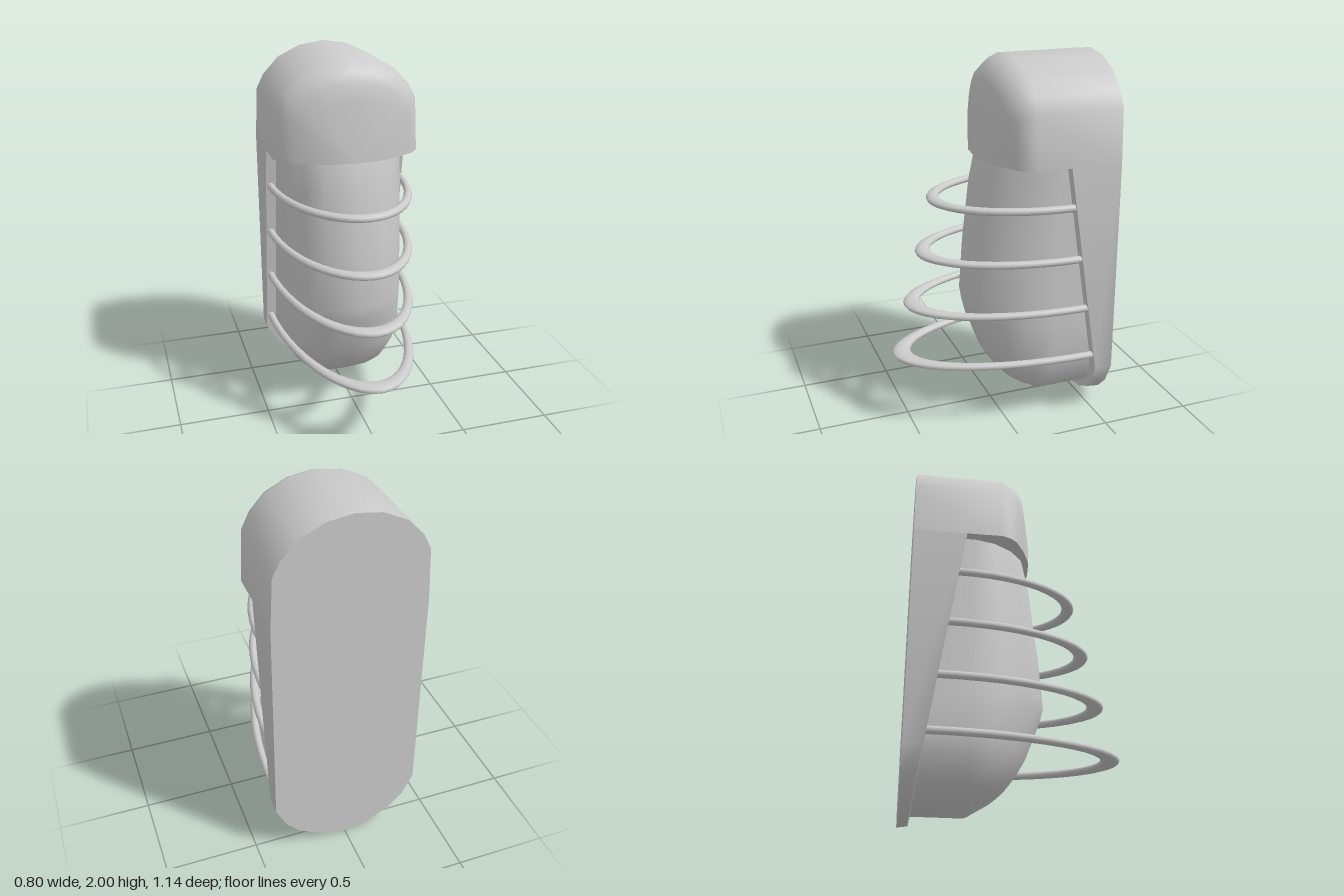
import * as THREE from 'three';
import { toCreasedNormals } from 'three/addons/utils/BufferGeometryUtils.js';

const BACK = -0.57, SPLIT = 1.47;

// z of the sloping front face of the wall plate at height y
const plateFront = (y) => -0.29 - 0.155 * (SPLIT - y);

// right half of an outline, mirrored to run from right to left
const mirrored = (half) => [...half, ...half.slice(0, -1).reverse().map(([x, y]) => [-x, y])];

// skin closed rings of [x, y, z] points
function loft(rings, crease) {
  const pos = [];
  const tri = (...pts) => {
    const [a, b, c] = pts.map((p) => new THREE.Vector3(...p));
    if (new THREE.Triangle(a, b, c).getArea() > 1e-8) pts.forEach((p) => pos.push(...p));
  };
  for (let i = 0; i < rings.length - 1; i++) {
    const n = rings[i].length;
    for (let j = 0; j < n; j++) {
      const k = (j + 1) % n;
      tri(rings[i][j], rings[i][k], rings[i + 1][k]);
      tri(rings[i][j], rings[i + 1][k], rings[i + 1][j]);
    }
  }
  const geo = new THREE.BufferGeometry();
  geo.setAttribute('position', new THREE.Float32BufferAttribute(pos, 3));
  return toCreasedNormals(geo, crease);
}

export function createModel() {
  const model = new THREE.Group();
  const material = new THREE.MeshStandardMaterial({ color: 0xcccccc });
  const add = (name, geo) => {
    const mesh = new THREE.Mesh(geo, material);
    mesh.name = name;
    model.add(mesh);
    return mesh;
  };

  // wall plate: rounded at the bottom, front sloping back downwards
  const bottom = mirrored([[0.4, 0.3], [0.34, 0.18], [0.26, 0.1], [0.13, 0.03], [0, 0.005]]).reverse();
  const outline = [[-0.4, SPLIT], ...bottom, [0.4, SPLIT]].map(([x, y]) => new THREE.Vector2(x, y));
  const plate = new THREE.ExtrudeGeometry(new THREE.Shape(outline), { depth: 1, bevelEnabled: false });
  const p = plate.attributes.position;
  for (let i = 0; i < p.count; i++) {
    if (p.getZ(i) > 0.5) {
      p.setZ(i, plateFront(p.getY(i)));
      if (p.getY(i) < 0.2) p.setY(i, p.getY(i) + 0.008);
    } else p.setZ(i, BACK);
  }
  add('wallPlate', toCreasedNormals(plate, 0.6));

  // hood: arch rings shrinking towards the bulging front, [scale, z at side, z at crown]
  const arch = mirrored([[0.4, SPLIT], [0.386, 1.75], [0.345, 1.83], [0.26, 1.92], [0.135, 1.98], [0, 2]]);
  const steps = [
    [0, BACK, BACK], [1, BACK, BACK], [1, -0.1, -0.09], [0.95, -0.055, -0.03], [0.87, -0.02, 0.02],
    [0.78, 0, 0.045], [0.62, 0.035, 0.058], [0.35, 0.075, 0.074], [0, 0.09, 0.09],
  ];
  add('hood', loft(steps.map(([s, side, crown]) => arch.map(([x, y]) => {
    const t = ((y - SPLIT) / (2 - SPLIT)) ** 2;
    return [x * s, SPLIT + (y - SPLIT) * s, side + (crown - side) * t];
  })), 0.7));

  // lens: horizontal slices, [height, half width, z at centre]
  const slices = [
    [0.07, 0, -0.24], [0.09, 0.14, -0.2], [0.16, 0.25, -0.09], [0.2, 0.28, -0.04], [0.28, 0.32, 0.02],
    [0.37, 0.345, 0.07], [0.58, 0.345, 0.15], [0.66, 0.345, 0.17], [0.96, 0.345, 0.145],
    [1.3, 0.345, 0.1], [1.47, 0.345, 0.06], [1.55, 0.345, 0.03],
  ];
  const bulge = [[1, 0], [0.92, 0.35], [0.73, 0.67], [0.47, 0.9], [0, 1]];
  const front = mirrored(bulge.map(([u, g]) => [-u, g]));
  front.forEach((q, i) => { if (i >= bulge.length) q[0] = Math.abs(q[0]); });
  add('lens', loft(slices.map(([y, w, f]) => [
    ...front.map(([u, g]) => [u * w, y, -0.24 + (f + 0.24) * g]),
    [w, y, -0.54], [-w, y, -0.54],
  ]), 0.7));

  // guard hoops: stretched half rings, reaching further out towards the bottom
  [[1.25, 0.35], [0.96, 0.422], [0.67, 0.497], [0.38, 0.572]].forEach(([y, reach], i) => {
    const z = plateFront(y) - 0.005;
    const hoop = new THREE.TorusGeometry(0.375, 0.02, 10, 24, Math.PI);
    hoop.rotateX(Math.PI / 2);
    hoop.scale(1, 1, (reach - z) / 0.395);
    add('guardHoop' + (i + 1), hoop).position.set(0, y, z);
  });

  return model;
}
